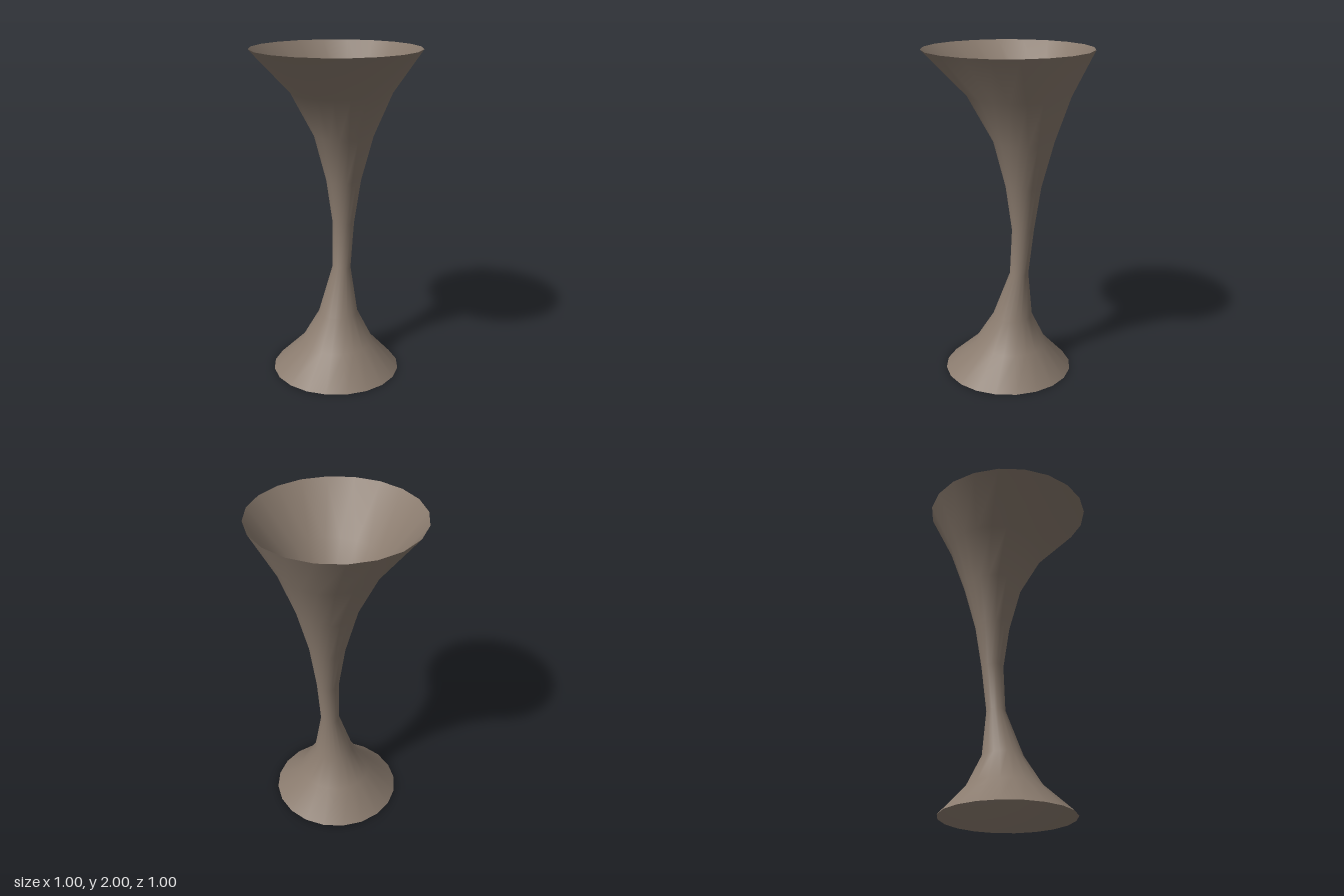
import * as THREE from 'three';
import { mergeVertices } from 'three/addons/utils/BufferGeometryUtils.js';

// Rings from top to bottom: [height, radius, z of the centre]
const RINGS = [
  [2, 0.5, 0],
  [1.74, 0.302, -0.073],
  [1.475, 0.18, -0.105],
  [1.2, 0.107, -0.104],
  [0.93, 0.067, -0.102],
  [0.642, 0.057, -0.077],
  [0.355, 0.122, -0.032],
  [0.17, 0.224, -0.017],
  [0, 0.395, 0],
];
const SIDES = 20;

// Open tube whose rows of vertices follow the rings
function flaredTube() {
  const tube = new THREE.CylinderGeometry(1, 1, 1, SIDES, RINGS.length - 1, true);
  const pos = tube.attributes.position;
  for (let i = 0; i < pos.count; i++) {
    const [y, r, z] = RINGS[Math.floor(i / (SIDES + 1))];
    pos.setXYZ(i, pos.getX(i) * r, y, pos.getZ(i) * r + z);
  }
  // Weld the seam so the shading stays smooth all round
  tube.deleteAttribute('uv');
  tube.deleteAttribute('normal');
  const welded = mergeVertices(tube, 1e-4);
  welded.computeVertexNormals();
  return welded;
}

export function createModel() {
  const model = new THREE.Group();
  model.name = 'flaredColumn';

  const taupe = new THREE.MeshStandardMaterial({ color: 0x8a7b6e, side: THREE.DoubleSide });
  taupe.name = 'taupe';

  const column = new THREE.Mesh(flaredTube(), taupe);
  column.name = 'hollowColumn';
  model.add(column);
  return model;
}
